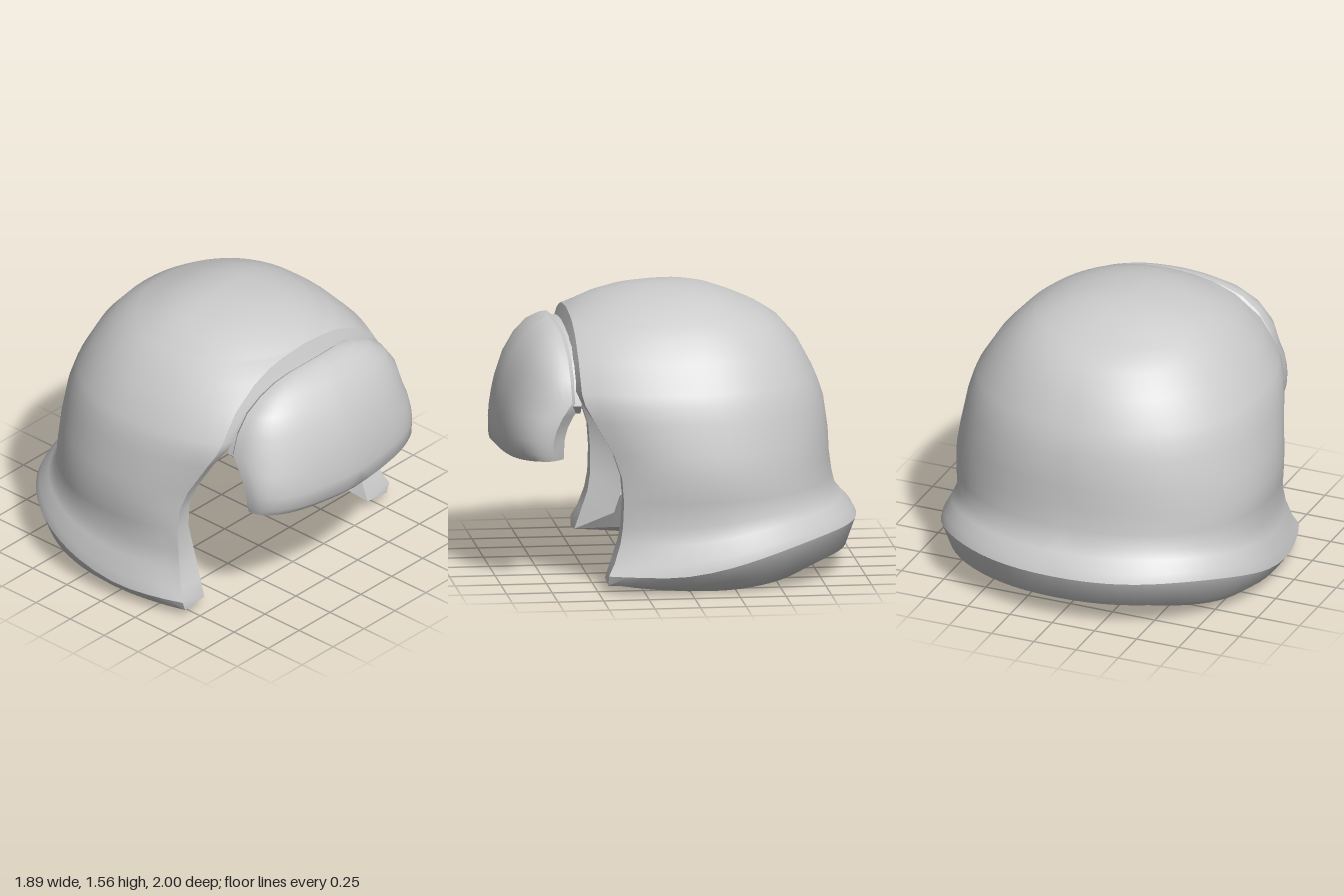
import * as THREE from 'three';
import { toCreasedNormals, mergeGeometries } from 'three/addons/utils/BufferGeometryUtils.js';

const smooth = THREE.MathUtils.smoothstep;
const grey = new THREE.MeshStandardMaterial({ color: 0xcccccc });
const COLS = 44;
const vec = (x, y, z) => new THREE.Vector3(x, y, z);

// Outer rows that stop at the face opening: y, half width, back reach, edge x, edge z
const OUTER = [
  [0.10, 0.945, 1.0, 0.835, 0.45], [0.165, 0.935, 0.975, 0.81, 0.415], [0.27, 0.895, 0.92, 0.785, 0.38],
  [0.36, 0.87, 0.885, 0.775, 0.365], [0.50, 0.885, 0.865, 0.78, 0.36], [0.63, 0.895, 0.85, 0.77, 0.37],
  [0.75, 0.88, 0.845, 0.75, 0.41], [0.93, 0.85, 0.82, 0.71, 0.51], [1.02, 0.825, 0.79, 0.685, 0.56],
  [1.08, 0.80, 0.765, 0.655, 0.575], [1.24, 0.70, 0.68, 0.55, 0.58], [1.35, 0.60, 0.585, 0.40, 0.58],
  [1.40, 0.54, 0.51, 0.27, 0.58], [1.42, 0.51, 0.475, 0.16, 0.58], [1.43, 0.495, 0.455, 0, 0.58],
];
// Inner edge of the rim face, paired with the outer rows: x, y
const LIP = [
  [0.66, 0.06], [0.655, 0.165], [0.65, 0.27], [0.66, 0.36], [0.69, 0.50], [0.69, 0.63], [0.68, 0.75], [0.645, 0.93],
  [0.615, 1.02], [0.585, 1.08], [0.48, 1.225], [0.335, 1.31], [0.21, 1.345], [0.12, 1.355], [0, 1.36],
];
// Closed rows of the crown: y, half width, back reach, front reach
const CROWN = [[1.475, 0.42, 0.355, 0.49], [1.515, 0.31, 0.255, 0.38], [1.54, 0.205, 0.16, 0.26], [1.553, 0.1, 0.07, 0.16], [1.558, 0, 0, 0]];

// Surface through rows of points; the front side is (along row) x (row to row)
function skin(rows, angle) {
  const pos = [];
  for (let i = 0; i + 1 < rows.length; i++) {
    const last = rows[i].length - 1;
    for (let j = 0; j < last; j++) {
      const a = rows[i][j], b = rows[i][j + 1], c = rows[i + 1][j + 1], d = rows[i + 1][j];
      const tris = j < last / 2 ? [[a, b, c], [a, c, d]] : [[a, b, d], [b, c, d]];
      for (const [p, q, r] of tris) {
        if (q.clone().sub(p).cross(r.clone().sub(p)).length() < 1e-8) continue;
        for (const v of [p, q, r]) pos.push(v.x, v.y, v.z);
      }
    }
  }
  const g = new THREE.BufferGeometry();
  g.setAttribute('position', new THREE.Float32BufferAttribute(pos, 3));
  return toCreasedNormals(g, angle);
}

// One superellipse row, running from the left edge round the back to the right edge
function ring(W, B, F, phi, n, z0, y) {
  const pw = (v) => (Math.abs(v) < 1e-9 ? 0 : Math.sign(v) * Math.pow(Math.abs(v), 2 / n));
  return Array.from({ length: COLS + 1 }, (_, j) => {
    const a = phi - (j / COLS) * (Math.PI + 2 * phi);
    const s = Math.sin(a);
    const z = z0 + pw(s) * (s > 0 ? F : B + z0);
    return vec(pw(Math.cos(a)) * W, y(z), z);
  });
}

// Row that ends at the opening: the front reach is solved from the edge point
function openRing(W, B, xE, zE, z0, y, n = 2.15) {
  const k = xE / W;
  const F = (zE - z0) / Math.pow(1 - Math.pow(k, n), 1 / n);
  return ring(W, B, F, Math.acos(Math.pow(k, n / 2)), n, z0, y);
}

const lift = (z) => 0.185 * (1 - smooth(z, -0.88, 0.15)); // the rim rises to the back
const fade = (y) => 1 - smooth(y, 0.05, 0.6);
const centre = (y) => -0.15 * (1 - smooth(y, 0.1, 1.1));
const mirror = (p) => vec(-p.x, p.y, p.z);

function shellGeometry() {
  const outer = OUTER.map(([y, W, B, xE, zE]) =>
    openRing(W, B, xE, zE, centre(y), (z) => y + lift(z) * fade(y)));
  const crown = CROWN.map(([y, W, B, F]) => ring(W, B, F, Math.PI / 2, 2.1, 0, () => y));

  // Rolled rim under the shell
  const sole = openRing(0.81, 0.78, 0.77, 0.44, -0.12, (z) => 0.15 * (z + 0.1) ** 2);
  const mid = openRing(0.9, 0.945, 0.815, 0.45, -0.14, (z) => 0.045 + 0.45 * lift(z));
  const under = openRing(0.69, 0.69, LIP[0][0], 0.45, -0.12, () => LIP[0][1], 2.3);

  // Flange round the opening: lip, then a corner set further in and back
  const lip = LIP.map(([x, y], i) => vec(x, y, OUTER[i][4] + 0.025 * smooth(y, 0.95, 1.1)));
  const corner = lip.map((p) =>
    vec(Math.min(0.56, p.x * 0.88), p.y - 0.06 * smooth(p.y, 0.9, 1.3), p.z - 0.17));
  const flanged = (i, row) => [lip[i], corner[i], ...row, mirror(corner[i]), mirror(lip[i])];

  // Hollow inside, parallel to the outside above a ledge
  const cavity = OUTER.map(([y, W, B, xE, zE]) => {
    const top = y - 0.09 * smooth(y, 0.8, 1.5);
    return openRing(W * 0.9, B * 0.9, xE * 0.9, zE - 0.16, centre(y), (z) => top + lift(z) * fade(y));
  });
  const ceiling = CROWN.map(([y, W, B, F]) =>
    ring(W * 0.88, B * 0.88, F * 0.8, Math.PI / 2, 2.1, 0, () => y - 0.09));
  const inside = [
    [lip[0], lip[0], ...under, mirror(lip[0]), mirror(lip[0])],
    flanged(1, openRing(0.635, 0.655, 0.61, 0.32, -0.13, () => 0.16, 2.4)),
    flanged(2, openRing(0.585, 0.62, 0.56, 0.21, -0.14, () => 0.26, 2.6)),
    flanged(2, openRing(0.80, 0.85, 0.70, 0.22, -0.14, (z) => 0.27 + 0.1 * lift(z))),
    ...cavity.slice(3).map((row, i) => flanged(i + 3, row)),
  ];
  // Side end of the rim face, from the sole up to the top of the arch
  const rim = [
    [sole[0], sole[0]], [lip[0], mid[0]], ...outer.map((r, i) => [lip[i], r[0]]),
  ];
  return mergeGeometries([
    skin([...outer, ...crown], 1.2),
    skin([under, sole, mid, outer[0]], 1.2),
    skin([...inside].reverse(), 0.6),
    skin([cavity[cavity.length - 1], ...ceiling].reverse(), 1.2),
    skin(rim, 0.7),
    skin(rim.map(([a, b]) => [mirror(b), mirror(a)]), 0.7),
  ]);
}

// Visor rows: y, half width, rear z, front z
const VISOR = [
  [0.67, 0.61, 0.742, 0.955], [0.715, 0.622, 0.742, 0.998], [0.80, 0.628, 0.738, 1.0], [0.87, 0.63, 0.722, 0.995],
  [0.94, 0.628, 0.69, 0.985], [1.02, 0.618, 0.635, 0.97], [1.14, 0.585, 0.64, 0.93], [1.24, 0.515, 0.645, 0.875],
  [1.31, 0.415, 0.655, 0.815], [1.35, 0.30, 0.66, 0.76], [1.37, 0.18, 0.665, 0.715], [1.38, 0, 0.67, 0.68],
];

function visorGeometry() {
  const arc = (w, r, f, yAt) => Array.from({ length: 29 }, (_, j) => {
    const a = Math.PI * (1 - j / 28);
    const c = Math.cos(a), s = Math.max(Math.sin(a), 0);
    const x = Math.sign(c) * Math.pow(Math.abs(c), 0.85) * w;
    const tip = 0.012 * Math.max(0, 1 - Math.abs(x) / 0.25);
    return vec(x, yAt(x), r + (f - r) * Math.pow(s, 0.85) - 0.012 + tip);
  });
  const outer = VISOR.map(([y, w, r, f]) =>
    arc(w, r, f, (x) => y + 0.03 * (1 - smooth(y, 0.67, 0.9)) * (x / 0.62) ** 2));
  const inner = VISOR.map(([y, w, r, f]) =>
    arc(w * 0.88, r - 0.07, Math.max(f - 0.08, r - 0.07), () => 0.695 + (y - 0.67) * 0.89));
  const rear = (j) => outer.map((o, i) => [o[j], inner[i][j]]);
  return mergeGeometries([
    skin(outer, 1.2),
    skin([...inner].reverse(), 1.2),
    skin(rear(28), 0.8),
    skin(rear(0).map(([a, b]) => [b, a]), 0.8),
    skin([inner[0], outer[0]], 1.2),
  ]);
}

// Arched band that joins the visor to the shell
function bandGeometry() {
  const side = VISOR.filter((r) => r[0] > 1);
  const arch = (inset, drop) => {
    const half = side.map(([y, w]) => new THREE.Vector2(w * (1 - inset), y - drop));
    const other = half.slice(0, -1).reverse().map((p) => new THREE.Vector2(-p.x, p.y));
    return [...half, ...other];
  };
  const shape = new THREE.Shape([...arch(0.025, 0.02), ...arch(0.11, 0.07).reverse()]);
  const g = new THREE.ExtrudeGeometry(shape, { depth: 0.09, bevelEnabled: false });
  g.translate(0, 0, 0.57);
  return toCreasedNormals(g, 0.6);
}

export function createModel() {
  const group = new THREE.Group();
  group.name = 'helmet';
  const add = (name, geometry) => {
    const mesh = new THREE.Mesh(geometry, grey);
    mesh.name = name;
    group.add(mesh);
  };
  add('shell', shellGeometry());
  add('visor', visorGeometry());
  add('visorBand', bandGeometry());
  return group;
}
